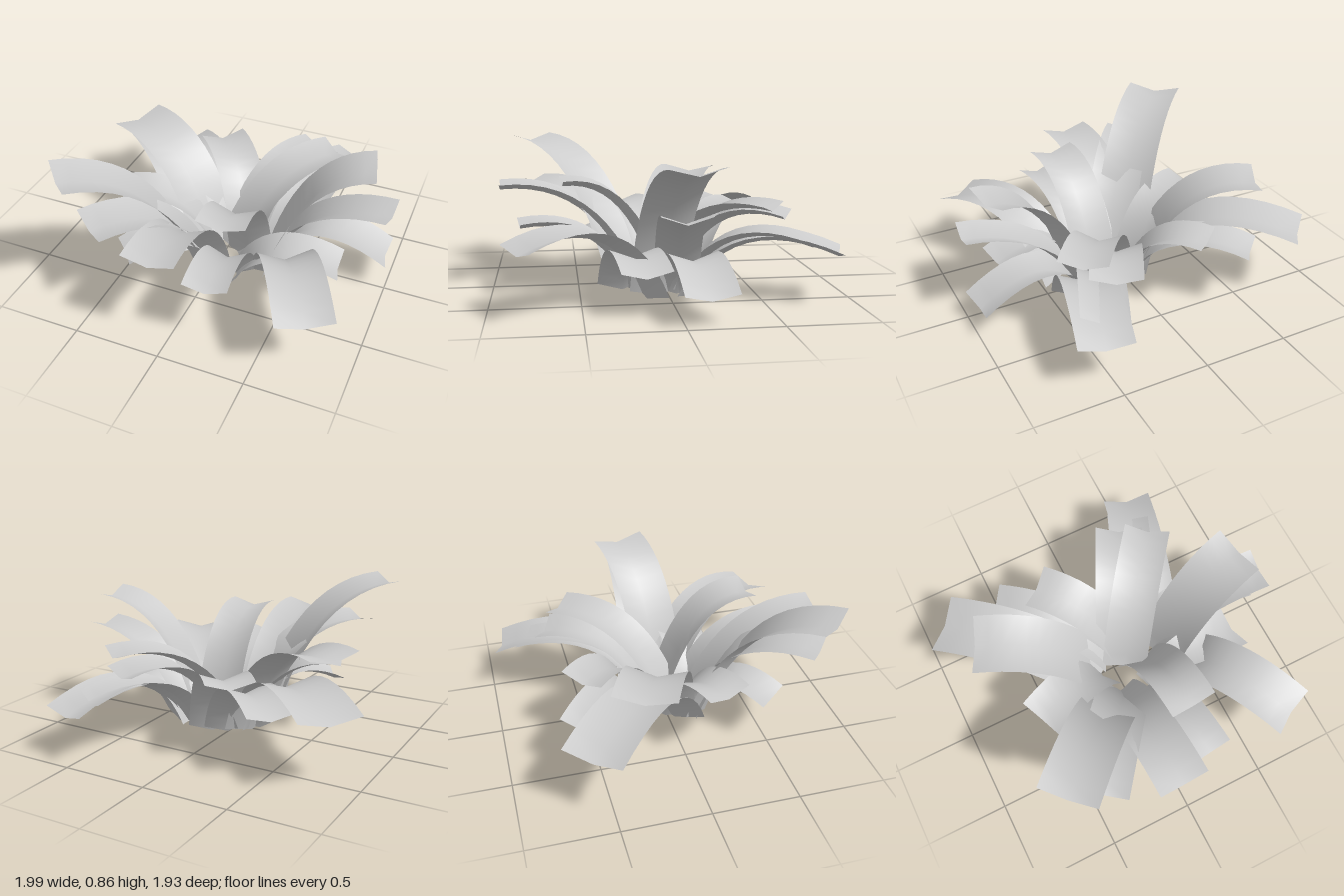
import * as THREE from 'three';

const SEGMENTS = 12;
const FOLD = 0.042;

// One strap leaf: arched midrib, two halves folded up into a shallow valley.
function leafGeometry(base, tip, rise, width) {
  const dx = tip.x - base.x, dz = tip.z - base.z;
  const control = new THREE.Vector3(base.x + dx * 0.3, rise, base.z + dz * 0.3);
  const curve = new THREE.QuadraticBezierCurve3(base, control, tip);
  const side = new THREE.Vector3(-dz, 0, dx).normalize();
  const geometry = new THREE.PlaneGeometry(1, 1, 2, SEGMENTS);
  const position = geometry.attributes.position;
  for (let row = 0; row <= SEGMENTS; row++) {
    const t = row / SEGMENTS;
    const mid = curve.getPoint(t);
    const normal = new THREE.Vector3().crossVectors(side, curve.getTangent(t)).normalize();
    if (normal.y < 0) normal.negate();
    for (let col = 0; col < 3; col++) {
      const across = col - 1;
      const p = mid.clone()
        .addScaledVector(side, across * width / 2)
        .addScaledVector(normal, Math.abs(across) * FOLD);
      // outer corners of the foot sit slightly above the ground
      p.y += Math.abs(across) * 0.015 * (1 - t);
      position.setXYZ(row * 3 + col, p.x, p.y, p.z);
    }
  }
  geometry.computeVertexNormals();
  return geometry;
}

export function createModel() {
  const plant = new THREE.Group();
  plant.name = 'plant';
  const material = new THREE.MeshStandardMaterial({ color: 0xcccccc, side: THREE.DoubleSide });

  // tip x, y, z, arch control height, width, foot x, z
  const leaves = [
    // right side
    [0.86, 0.74, -0.08, 0.70, 0.33, 0.31, 0.05],
    [0.99, 0.52, 0.00, 0.50, 0.26, 0.30, -0.05],
    [0.96, 0.13, -0.13, 0.43, 0.29, 0.30, -0.08],
    [0.75, 0.20, 0.17, 0.38, 0.28, 0.16, 0.25],
    // front
    [0.76, 0.34, 0.83, 0.56, 0.32, 0.38, 0.13],
    [0.21, 0.385, 0.83, 0.45, 0.25, 0.14, 0.21],
    [0.20, 0.62, 0.59, 0.66, 0.28, 0.16, 0.05],
    [-0.05, 0.575, 0.95, 0.62, 0.30, -0.08, 0.18],
    // front left
    [-0.66, 0.82, 0.78, 0.78, 0.34, -0.11, 0.24],
    [-0.48, 0.56, 0.79, 0.62, 0.32, -0.01, 0.19],
    [-0.41, 0.22, 0.54, 0.40, 0.26, -0.03, 0.19],
    // left and back left
    [-0.58, 0.41, 0.22, 0.48, 0.28, -0.09, 0.02],
    [-0.75, 0.59, -0.30, 0.66, 0.35, -0.11, -0.01],
    [-0.86, 0.36, -0.60, 0.58, 0.36, -0.14, 0.04],
    [-0.53, 0.32, -0.59, 0.50, 0.28, 0.00, -0.11],
    [-0.26, 0.43, -0.54, 0.50, 0.28, 0.09, -0.14],
    // back and back right
    [0.37, 0.43, -0.66, 0.56, 0.29, 0.08, -0.08],
    [0.51, 0.50, -0.55, 0.58, 0.28, 0.07, 0.02],
    [0.50, 0.29, -0.79, 0.47, 0.26, 0.22, -0.11],
    [0.56, 0.25, -0.92, 0.50, 0.30, 0.35, -0.10],
  ];

  for (const [x, y, z, rise, width, footX, footZ] of leaves) {
    const leaf = new THREE.Mesh(
      leafGeometry(new THREE.Vector3(footX, 0, footZ), new THREE.Vector3(x, y, z), rise, width),
      material);
    leaf.name = 'leaf';
    plant.add(leaf);
  }
  return plant;
}
